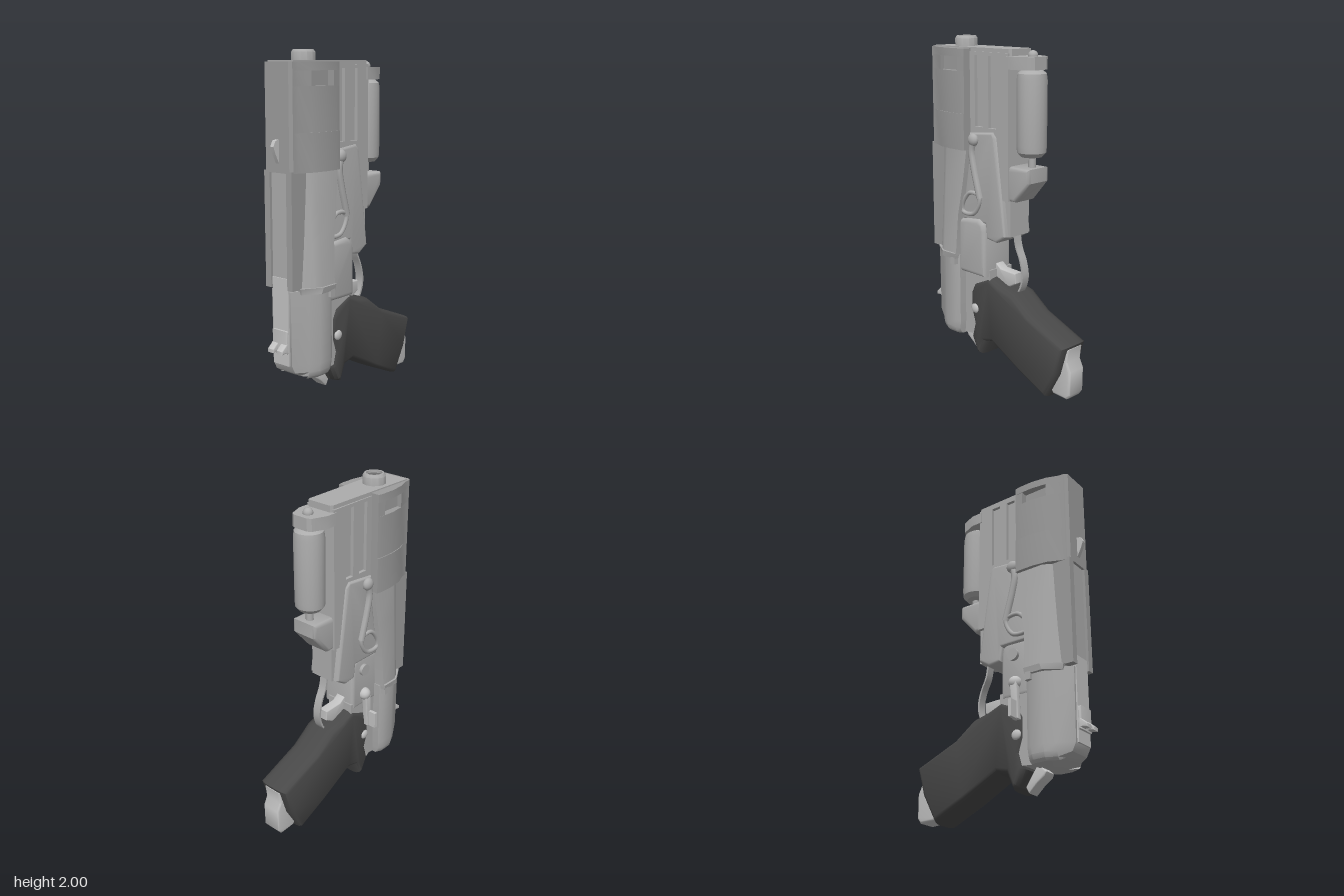
import * as THREE from 'three';
import { toCreasedNormals } from 'three/addons/utils/BufferGeometryUtils.js';

const mat = (name, color) => {
  const m = new THREE.MeshStandardMaterial({ color });
  m.name = name;
  return m;
};

const shapeOf = (pts) => new THREE.Shape(pts.map(([a, b]) => new THREE.Vector2(a, b)));

// side outline in [z, y], extruded across x between x0 and x1
function sideExtrude(pts, x0, x1, bevel = 0, holes = [], thick = bevel) {
  const shape = shapeOf(pts);
  holes.forEach((h) => shape.holes.push(shapeOf(h)));
  const g = new THREE.ExtrudeGeometry(shape, {
    depth: x1 - x0 - 2 * thick, bevelEnabled: bevel > 0, bevelSize: bevel,
    bevelThickness: thick, bevelOffset: -bevel, bevelSegments: 3,
  });
  g.translate(0, 0, thick - (x1 - x0)).rotateY(-Math.PI / 2).translate(x0, 0, 0);
  return toCreasedNormals(g, 0.7);
}

// plan outline in [x, z], given for +x and mirrored, extruded from y0 to y1
const mirrorRing = (half) => [...half, ...half.map(([x, z]) => [-x, z]).reverse()];
function planExtrude(half, y0, y1) {
  const g = new THREE.ExtrudeGeometry(shapeOf(mirrorRing(half)), { depth: y1 - y0, bevelEnabled: false });
  return toCreasedNormals(g.rotateX(Math.PI / 2).translate(0, y1, 0), 0.5);
}

// mirrored convex sections [y, half outline], joined from bottom to top
function loft(sections) {
  const rings = sections.map(([y, half]) => mirrorRing(half).map(([x, z]) => [x, y, z]));
  const n = rings[0].length, top = rings[rings.length - 1], pos = [];
  const tri = (...p) => p.forEach((v) => pos.push(...v));
  for (let r = 0; r < rings.length - 1; r++) {
    for (let i = 0; i < n; i++) {
      const j = (i + 1) % n, lo = rings[r], hi = rings[r + 1];
      tri(lo[j], lo[i], hi[i]);
      tri(lo[j], hi[i], hi[j]);
    }
  }
  for (let i = 1; i < n - 1; i++) {
    tri(rings[0][0], rings[0][i], rings[0][i + 1]);
    tri(top[0], top[i + 1], top[i]);
  }
  const g = new THREE.BufferGeometry();
  g.setAttribute('position', new THREE.Float32BufferAttribute(pos, 3));
  return toCreasedNormals(g, 0.5);
}

const rect = (a0, b0, a1, b1) => [[a0, b0], [a1, b0], [a1, b1], [a0, b1]];

export function createModel() {
  const model = new THREE.Group();
  const steel = mat('steel grey', 0xacacac);
  const slide = mat('slide grey', 0x9c9c9c);
  const black = mat('grip charcoal', 0x484848);
  const pale = mat('pale steel', 0xc2c2c2);
  const boreGrey = mat('bore grey', 0x6c6c6c);
  const add = (name, geo, material) => {
    const m = new THREE.Mesh(geo, material);
    m.name = name;
    model.add(m);
    return m;
  };
  const lathe = (name, pts, z, material, seg) => add(name, toCreasedNormals(
    new THREE.LatheGeometry(pts.map(([r, y]) => new THREE.Vector2(r, y)), seg), 0.6), material).position.set(0, 0, z);

  // slide shell around the muzzle, with a window notch in each side
  const shell = (w) => [[w - 0.005, 0.19], [w, 0.22], [w, 0.31], [w - 0.014, 0.4], [0.104, 0.475], [0.1, 0.51], [0.085, 0.525]];
  const notched = [[0.141, 0.19], [0.146, 0.24], [0.105, 0.24], [0.105, 0.4], [0.132, 0.4], [0.104, 0.475], [0.1, 0.51], [0.085, 0.525]];
  add('slideSkirt', planExtrude(shell(0.151), 1.36, 1.57), slide);
  add('slideShell', planExtrude(shell(0.146), 1.57, 1.81), slide);
  add('slideWindowBand', planExtrude(notched, 1.81, 1.89), slide);
  add('slideTop', planExtrude(shell(0.146), 1.89, 1.935), slide);

  // slide spine: two rails with a recessed strip between
  const spine = [[0.525, 1.37], [0.41, 1.37], [0.415, 1.2], [0.43, 0.95], [0.455, 0.73], [0.525, 0.73]];
  for (const s of [-1, 1]) add('spineRail', sideExtrude(spine, s * 0.08 - 0.02, s * 0.08 + 0.02), slide);
  add('spineStrip', new THREE.BoxGeometry(0.122, 0.64, 0.1).translate(0, 1.05, 0.46), steel);
  add('rearStrip', new THREE.BoxGeometry(0.116, 0.49, 0.06).translate(0, 0.545, 0.486), pale);

  // barrel with sunken bore
  lathe('barrel', [[0.066, 1.92], [0.066, 1.985], [0.056, 2], [0.046, 2], [0.046, 1.97]], 0.32, steel, 12);
  add('bore', new THREE.CylinderGeometry(0.047, 0.047, 0.006, 24).translate(0, 1.982, 0.32), boreGrey);

  // inner frame and top plate
  add('topPlate', planExtrude([[0.075, -0.125], [0.085, -0.11], [0.093, 0.495]], 1.9, 1.942), steel);
  add('frameCore', sideExtrude([[0.2, 1.92], [-0.115, 1.92], [-0.115, 0.89], [0.055, 0.87], [0.06, 0.6], [0.4, 0.6], [0.4, 1.4], [0.2, 1.4]], -0.075, 0.075), steel);
  const slots = [rect(0.09, 1.5, 0.15, 1.9), rect(-0.02, 1.5, 0.04, 1.9)];
  for (const x of [-0.095, 0.073]) {
    add('slottedPlate', sideExtrude(rect(-0.115, 1.1, 0.2, 1.92), x, x + 0.022, 0, slots), steel);
  }

  // flared side covers and the lip beneath them
  const flare = (y, w, back, front) => [y, [[w, back], [w, 0.36], [w - 0.02, 0.4], [0.095, front]]];
  add('flaredCover', loft([flare(0.72, 0.163, 0.255, 0.46), flare(0.97, 0.15, 0.245, 0.44),
    flare(1.15, 0.14, 0.215, 0.43), flare(1.365, 0.128, 0.19, 0.42)]), steel);
  add('coverLip', loft([[0.7, [[0.168, 0.258], [0.17, 0.37], [0.105, 0.46]]], [0.735, [[0.175, 0.255], [0.175, 0.36], [0.11, 0.47]]]]), steel);
  for (const s of [-1, 1]) add('lipTab', new THREE.BoxGeometry(0.03, 0.05, 0.035).translate(s * 0.155, 0.69, 0.278), steel);

  // raised side panels and rounded receiver panel, which stands proud on the left only
  add('sidePanel', sideExtrude([[0.19, 1.46], [0, 1.48], [-0.025, 1.45], [-0.1, 0.89], [-0.03, 0.845], [0.05, 0.855],
    [0.06, 0.94], [0.25, 0.94], [0.25, 1.0], [0.19, 1.36]], -0.108, 0.108, 0.015), steel);
  add('receiverPanel', sideExtrude([[0.27, 0.62], [0.27, 0.94], [0.2, 0.955], [0.1, 0.965], [0.06, 0.94], [0.048, 0.9], [0.048, 0.62]],
    -0.095, 0.13, 0.025), steel);

  // rear block
  const rear = (y, w, back, front) => [y, [[w - 0.015, back], [w, back + 0.03], [w, 0.36], [w - 0.03, 0.42], [0.07, front]]];
  add('rearBlock', loft([rear(0.213, 0.125, 0.26, 0.36), rear(0.228, 0.14, 0.257, 0.44), rear(0.255, 0.148, 0.255, 0.482),
    rear(0.3, 0.15, 0.25, 0.505), rear(0.72, 0.15, 0.25, 0.51)]), steel);
  add('gripMount', sideExtrude([[0.04, 0.24], [0.26, 0.22], [0.26, 0.66], [0.04, 0.66]], -0.09, 0.09), steel);

  // grip, screws and magazine base
  add('grip', sideExtrude([[0.2, 0.5], [0.17, 0.56], [0.05, 0.615], [-0.04, 0.58], [-0.14, 0.555], [-0.27, 0.46], [-0.55, 0.345],
    [-0.5, 0.17], [-0.41, 0.005], [-0.2, 0.1], [0.02, 0.215], [0.08, 0.2], [0.12, 0.105], [0.155, 0.12], [0.2, 0.21], [0.175, 0.3], [0.2, 0.38]],
  -0.102, 0.102, 0.028, [], 0.06), black);
  for (const s of [-1, 1]) {
    add('gripScrew', new THREE.SphereGeometry(0.03, 16, 10).scale(0.5, 1, 1).translate(s * 0.1, 0.4, 0.155), pale);
  }
  add('magazineBase', sideExtrude([[-0.5, 0.33], [-0.55, 0.33], [-0.54, 0.25], [-0.565, 0.2], [-0.563, 0.06], [-0.54, 0.03], [-0.44, 0.035], [-0.42, 0.06]],
    -0.06, 0.06, 0.012), pale);

  // hammer, trigger and guard strap
  add('hammer', sideExtrude([[0.3, 0.19], [0.25, 0.24], [0.17, 0.125], [0.19, 0.09], [0.24, 0.135], [0.29, 0.17]].reverse(), -0.04, 0.04, 0.006), pale);
  add('trigger', sideExtrude([[0.06, 0.7], [0.01, 0.665], [-0.11, 0.66], [-0.11, 0.6], [-0.06, 0.57], [0.06, 0.57]], -0.03, 0.03, 0.006), pale);
  const strap = [[-0.1, 0.9], [-0.115, 0.82], [-0.15, 0.74], [-0.167, 0.65], [-0.15, 0.58], [-0.125, 0.54]];
  const outer = new THREE.CatmullRomCurve3(strap.map(([z, y]) => new THREE.Vector3(z, y, 0))).getPoints(20).map((p) => [p.x, p.y]);
  add('guardStrap', sideExtrude([...outer, ...outer.map(([z, y]) => [z + 0.012, y + 0.002]).reverse()], -0.025, 0.025), steel);

  // sights
  add('frontSight', sideExtrude([[0.51, 1.54], [0.55, 1.53], [0.565, 1.5], [0.55, 1.46], [0.525, 1.41], [0.51, 1.41]], -0.012, 0.012), pale);
  add('rearSight', sideExtrude(rect(0.48, 0.37, 0.53, 0.5), -0.055, 0.055, 0.008), pale);
  for (const s of [-1, 1]) {
    add('rearSightEar', sideExtrude([[0.5, 0.37], [0.535, 0.38], [0.565, 0.375], [0.565, 0.395], [0.525, 0.43], [0.5, 0.43]],
      s * 0.033 - 0.022, s * 0.033 + 0.022, 0.004), pale);
  }

  // rear canister with cap, knob, stem and wedge bracket
  lathe('canister', [[0, 1.355], [0.06, 1.36], [0.082, 1.385], [0.085, 1.42], [0.085, 1.78], [0.08, 1.815], [0.055, 1.835], [0, 1.84]], -0.205, steel, 20);
  add('canisterCap', planExtrude([[0.045, -0.268], [0.068, -0.255], [0.1, -0.17], [0.1, -0.1]], 1.835, 1.905), steel);
  add('capKnob', new THREE.SphereGeometry(0.028, 16, 10).translate(0, 1.91, -0.21), steel);
  add('canisterStem', new THREE.CylinderGeometry(0.022, 0.022, 0.1, 14).translate(0, 1.32, -0.21), steel);
  add('wedgeBracket', sideExtrude([[-0.08, 1.28], [-0.11, 1.3], [-0.26, 1.3], [-0.26, 1.22], [-0.155, 1.1], [-0.08, 1.1]], -0.085, 0.085, 0.02), steel);

  // lever and loop on each side
  for (const s of [-1, 1]) {
    const curve = (pts, closed) => new THREE.CatmullRomCurve3(pts.map(([z, y]) => new THREE.Vector3(s * 0.112, y, z)), closed);
    add('sideLever', new THREE.TubeGeometry(curve([[0.14, 1.43], [0.16, 1.36], [0.14, 1.25], [0.115, 1.16], [0.095, 1.09]]), 24, 0.021, 8), steel);
    add('leverPivot', new THREE.SphereGeometry(0.037, 16, 10).scale(0.7, 1, 1).translate(s * 0.115, 1.425, 0.145), steel);
    add('leverLoop', new THREE.TubeGeometry(curve([[0.24, 0.99], [0.24, 1.04], [0.18, 1.11], [0.1, 1.1], [0.1, 1.06], [0.15, 0.99]], true), 40, 0.013, 8, true), steel);
  }

  // release button and selector lever on the right side
  add('releaseButton', new THREE.CylinderGeometry(0.035, 0.035, 0.04, 16).rotateZ(Math.PI / 2).translate(-0.095, 0.87, 0.14), steel);
  add('selectorPivot', new THREE.SphereGeometry(0.038, 16, 10).translate(-0.1, 0.7, 0.15), pale);
  add('selectorArm', sideExtrude([[0.13, 0.7], [0.15, 0.48], [0.185, 0.48], [0.175, 0.7]], -0.13, -0.095, 0.006), pale);
  add('selectorTab', new THREE.BoxGeometry(0.07, 0.1, 0.02).translate(-0.145, 0.53, 0.168), pale);
  return model;
}
